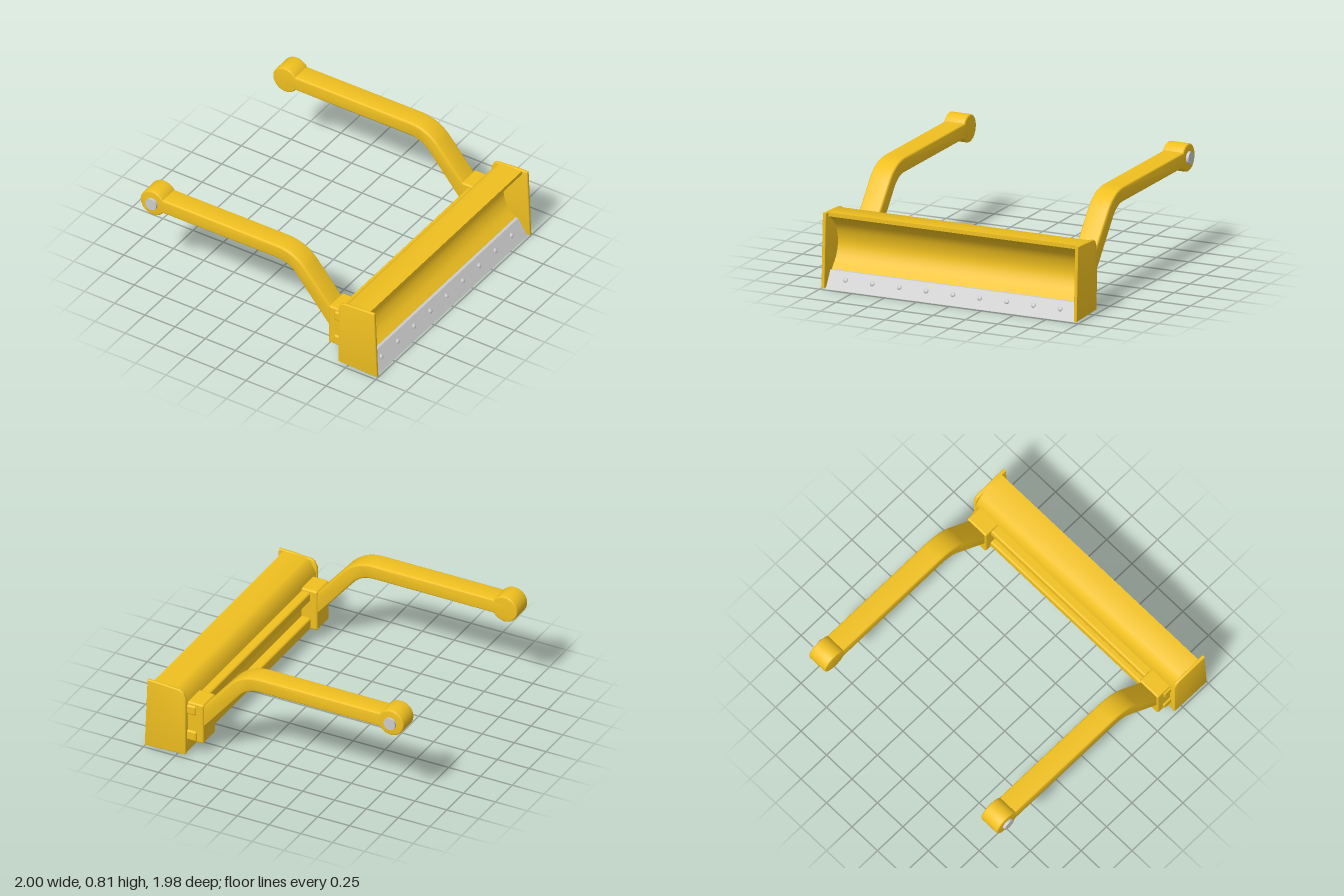
import * as THREE from 'three';
import { toCreasedNormals } from 'three/addons/utils/BufferGeometryUtils.js';
import { RoundedBoxGeometry } from 'three/addons/geometries/RoundedBoxGeometry.js';

const yellow = new THREE.MeshStandardMaterial({ color: 0xf0c020 });
const steel = new THREE.MeshStandardMaterial({ color: 0xcccccc });

export function createModel() {
  const model = new THREE.Group();

  function add(name, geometry, material = yellow, parent = model) {
    const mesh = new THREE.Mesh(geometry, material);
    mesh.name = name;
    parent.add(mesh);
    return mesh;
  }

  // side profile (x, y) swept across z, centred on zc, with rounded edges
  function sweep(shape, width, zc, bevel = 0) {
    const g = new THREE.ExtrudeGeometry(shape, {
      depth: width - 2 * bevel, curveSegments: 24,
      bevelEnabled: bevel > 0, bevelThickness: bevel, bevelSize: bevel,
      bevelOffset: -bevel, bevelSegments: 3,
    });
    g.translate(0, 0, zc - width / 2 + bevel);
    return toCreasedNormals(g, 0.6);
  }

  const polygon = (pts) => new THREE.Shape(pts.map(([x, y]) => new THREE.Vector2(x, y)));

  function block(x0, x1, y0, y1, z0, z1, r) {
    const g = new RoundedBoxGeometry(x1 - x0, y1 - y0, z1 - z0, 3, r);
    g.translate((x0 + x1) / 2, (y0 + y1) / 2, (z0 + z1) / 2);
    return g;
  }

  // blade: solid back, hollow curved front
  const body = new THREE.Shape();
  body.moveTo(0.685, 0.025);
  body.lineTo(0.955, 0.015);
  body.lineTo(0.885, 0.12);
  body.splineThru([[0.815, 0.2], [0.785, 0.29], [0.805, 0.39], [0.86, 0.465], [0.935, 0.515]]
    .map(([x, y]) => new THREE.Vector2(x, y)));
  body.lineTo(0.935, 0.543);
  body.lineTo(0.76, 0.538);
  body.lineTo(0.725, 0.515);
  body.lineTo(0.685, 0.44);
  add('blade', sweep(body, 1.93, 0));

  // cutting edge and its row of bolts
  const edgeShape = polygon([[0.95, 0], [0.98, 0], [0.905, 0.122], [0.88, 0.122]]);
  add('cuttingEdge', sweep(edgeShape, 1.93, 0), steel);
  const tilt = Math.atan2(0.075, 0.122);
  for (let i = 0; i < 9; i++) {
    const bolt = add('edgeBolt', new THREE.SphereGeometry(0.018, 16, 6, 0, Math.PI * 2, 0, Math.PI / 2), steel);
    bolt.scale.y = 0.6;
    bolt.rotation.z = tilt - Math.PI / 2;
    bolt.position.set(0.937, 0.07, (i - 4) * 0.2075);
  }

  // two cross bars behind the blade
  add('upperCrossBar', block(0.62, 0.70, 0.33, 0.405, -0.95, 0.95, 0.015));
  add('lowerCrossBar', block(0.615, 0.70, 0.12, 0.2, -0.95, 0.95, 0.015));

  // arm profile: level run, bend, then down to the bracket
  const arm = new THREE.Shape();
  arm.moveTo(-0.9, 0.65);
  arm.lineTo(0.12, 0.65);
  arm.bezierCurveTo(0.19, 0.65, 0.24, 0.63, 0.285, 0.58);
  arm.lineTo(0.6, 0.205);
  arm.lineTo(0.6, 0.375);
  arm.lineTo(0.365, 0.655);
  arm.bezierCurveTo(0.3, 0.725, 0.22, 0.76, 0.12, 0.76);
  arm.lineTo(-0.9, 0.76);

  const hub = new THREE.Shape().absarc(-0.9, 0.705, 0.1, 0, Math.PI * 2);
  const endPlate = polygon([[0.68, 0.02], [1.0, 0.008], [0.978, 0.547], [0.9, 0.546],
    [0.725, 0.535], [0.7, 0.52], [0.68, 0.48]]);

  for (const [side, s] of [['left', 1], ['right', -1]].map(([n, v]) => [n, -v])) {
    const group = new THREE.Group();
    group.name = side + 'ArmAssembly';
    model.add(group);
    add('arm', sweep(arm, 0.16, s * 0.845, 0.015), yellow, group);
    add('pivotHub', sweep(hub, 0.16, s * 0.845, 0.01), yellow, group);
    const pin = new THREE.CylinderGeometry(0.045, 0.045, 0.06, 32);
    pin.rotateX(Math.PI / 2);
    pin.translate(-0.9, 0.705, s * 0.915);
    add('pivotPin', pin, steel, group);
    const bracket = block(0.565, 0.70, 0.11, 0.425, -0.092, 0.092, 0.015);
    bracket.translate(0, 0, s * 0.845);
    add('armBracket', bracket, yellow, group);
    add('endPlate', sweep(endPlate, 0.025, s * 0.975, 0.007), yellow, group);
  }
  return model;
}
